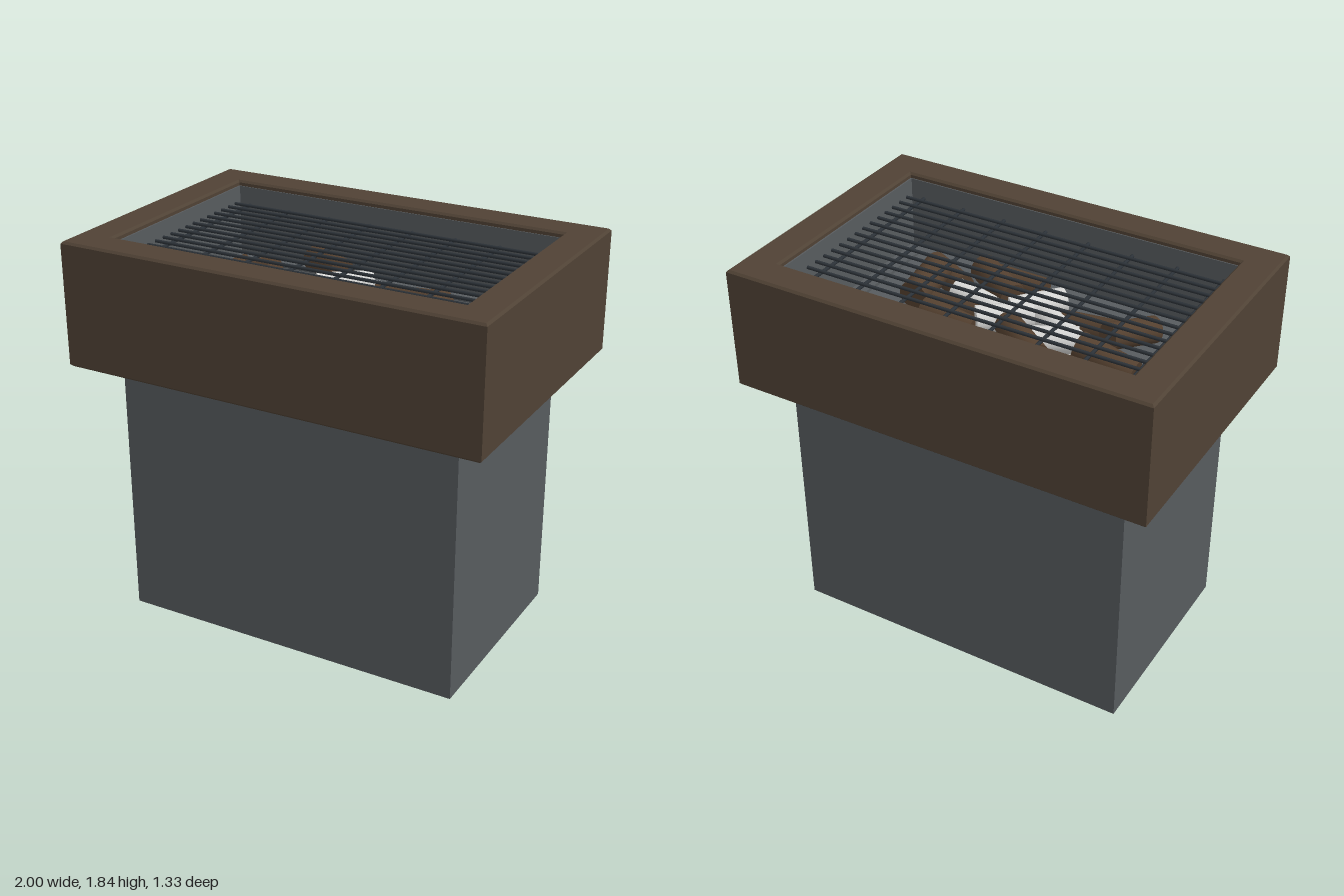
import * as THREE from 'three';

const mat = (name, color) => new THREE.MeshStandardMaterial({ name, color });

// Rectangular ring, lying flat, from y0 up to y1
function ring(hx, hz, ix, iz, y0, y1, bevel = 0) {
  const rect = (path, x, z) => path.moveTo(-x, -z).lineTo(x, -z).lineTo(x, z).lineTo(-x, z).closePath();
  const shape = rect(new THREE.Shape(), hx - bevel, hz - bevel);
  shape.holes.push(rect(new THREE.Path(), ix + bevel, iz + bevel));
  return new THREE.ExtrudeGeometry(shape, {
    depth: y1 - y0 - 2 * bevel, bevelEnabled: bevel > 0,
    bevelSize: bevel, bevelThickness: bevel, bevelSegments: 1,
  }).rotateX(-Math.PI / 2).translate(0, y0 + bevel, 0);
}

export function createModel() {
  const model = new THREE.Group();
  model.name = 'firePit';
  const grey = mat('slate grey', 0x575b5e);
  const brown = mat('dark brown', 0x504235);
  const iron = mat('dark iron', 0x2c3238);
  const bark = mat('log brown', 0x54402f);
  const ash = mat('pale ash', 0xd8d8d6);

  const add = (parent, name, geometry, material) => {
    const mesh = new THREE.Mesh(geometry, material);
    mesh.name = name;
    parent.add(mesh);
    return mesh;
  };
  const box = (w, h, d, x, y, z) => new THREE.BoxGeometry(w, h, d).translate(x, y, z);

  // Pedestal, underside plate and brown collar
  add(model, 'pedestal', box(1.66, 1.28, 1, 0, 0.64, 0), grey);
  add(model, 'undersidePlate', box(1.96, 0.03, 1.3, 0, 1.274, 0), grey);
  add(model, 'collar', ring(1, 0.665, 0.84, 0.505, 1.255, 1.835, 0.01), brown);

  // Fire bowl inside the collar, with a shallow stepped floor
  add(model, 'bowlLiner', ring(0.85, 0.515, 0.833, 0.5, 1.28, 1.81), grey);
  add(model, 'bowlFloor', box(1.67, 0.17, 1.01, 0, 1.375, 0), grey);
  add(model, 'floorLedge', ring(0.835, 0.502, 0.76, 0.43, 1.45, 1.475), grey);

  // Grill of long rods over cross rods
  const grill = new THREE.Group();
  grill.name = 'grill';
  model.add(grill);
  const rod = (length, radius) => new THREE.CylinderGeometry(radius, radius, length, 8);
  for (let i = 0; i < 16; i++) {
    add(grill, 'longRod', rod(1.66, 0.008).rotateZ(Math.PI / 2), iron).position.set(0, 1.735, -0.45 + i * 0.06);
  }
  for (let i = 0; i < 8; i++) {
    add(grill, 'crossRod', rod(1, 0.008).rotateX(Math.PI / 2), iron).position.set(-0.775 + i * 0.22, 1.722, 0);
  }

  // Logs: x, y, z, heading in degrees, tilt in degrees, length, radius
  const logs = new THREE.Group();
  logs.name = 'logs';
  model.add(logs);
  const addLogs = (name, material, list) => list.forEach(([x, y, z, heading, tilt, length, radius]) => {
    const log = add(logs, name, new THREE.CylinderGeometry(radius, radius, length, 20).rotateZ(Math.PI / 2), material);
    log.position.set(x, y, z);
    log.rotation.set(0, THREE.MathUtils.degToRad(heading), THREE.MathUtils.degToRad(tilt));
  });
  addLogs('log', bark, [
    [-0.51, 1.55, -0.08, 0, 14, 0.27, 0.066],
    [-0.53, 1.59, 0.11, 62, 10, 0.25, 0.06],
    [-0.32, 1.52, 0.15, -4, -8, 0.28, 0.064],
    [-0.17, 1.61, -0.2, -33, 4, 0.27, 0.06],
    [0.24, 1.54, -0.12, -3, 6, 0.26, 0.06],
    [0.28, 1.53, 0, 6, 0, 0.26, 0.055],
    [0.46, 1.59, 0.04, -85, 5, 0.25, 0.068],
    [0.17, 1.6, 0.18, -30, 5, 0.27, 0.065],
    [0.46, 1.53, 0.22, -28, 0, 0.26, 0.062],
    [0.17, 1.51, 0.36, 5, 4, 0.28, 0.058],
  ]);
  addLogs('ashLog', ash, [
    [0.01, 1.5, -0.24, -6, 0, 0.25, 0.06],
    [-0.22, 1.54, -0.04, 28, 0, 0.25, 0.06],
    [0, 1.59, -0.05, 38, 0, 0.25, 0.06],
    [-0.2, 1.52, 0.08, -30, 0, 0.26, 0.06],
    [-0.03, 1.54, 0.18, 50, 0, 0.26, 0.06],
    [0.2, 1.55, 0.06, -10, 4, 0.25, 0.06],
  ]);
  return model;
}
